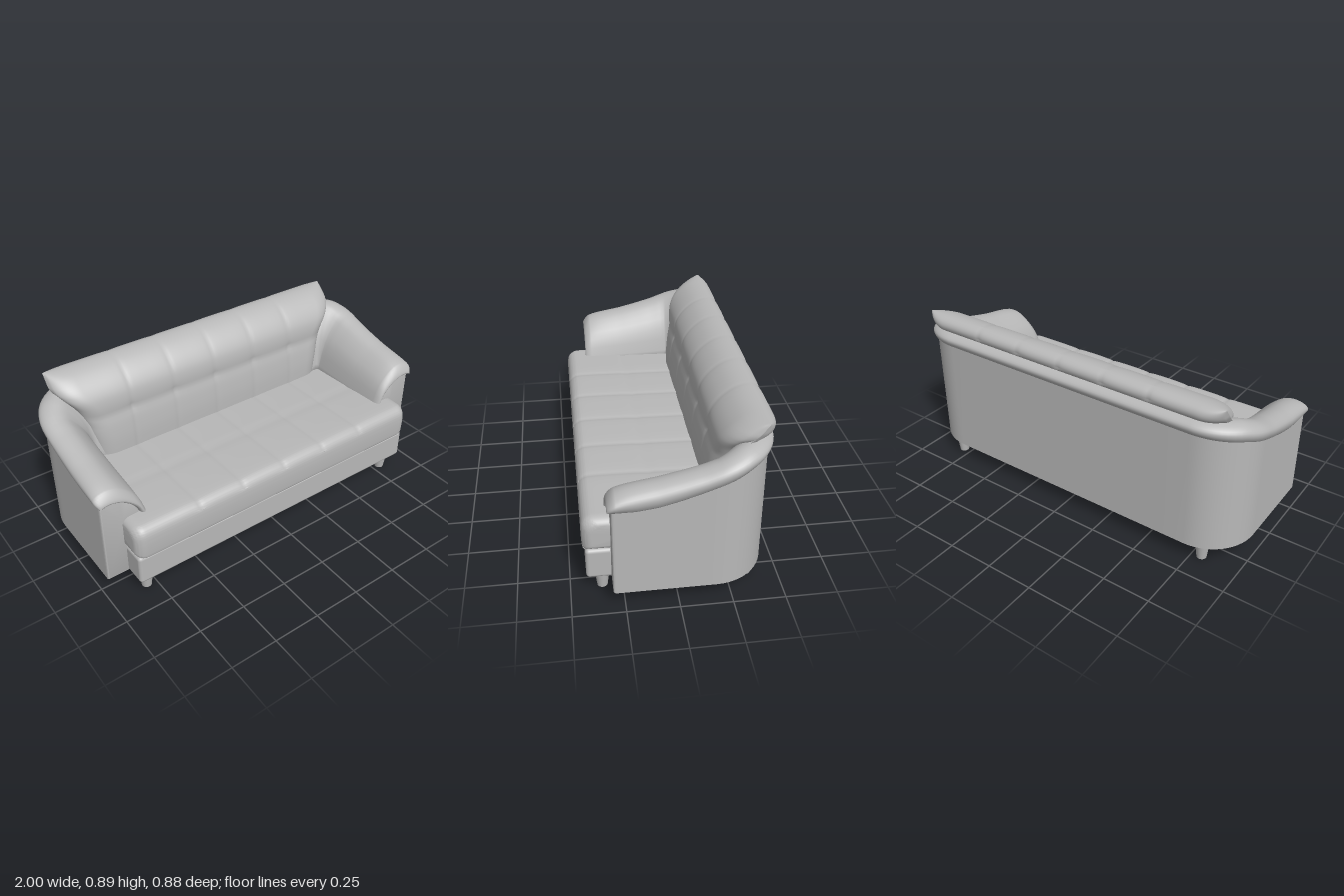
import * as THREE from 'three';
import { toCreasedNormals } from 'three/addons/utils/BufferGeometryUtils.js';
import { RoundedBoxGeometry } from 'three/addons/geometries/RoundedBoxGeometry.js';

const V = (x, y, z) => new THREE.Vector3(x, y, z);

// Piecewise-linear lookup in [key, value] pairs with rising keys
function lookup(table, t) {
  if (t <= table[0][0]) return table[0][1];
  for (let i = 1; i < table.length; i++) {
    const [a, va] = table[i - 1], [b, vb] = table[i];
    if (t <= b) return va + (vb - va) * (t - a) / (b - a);
  }
  return table[table.length - 1][1];
}

// Skin closed rings of points, optionally with end caps, facing outwards
function loft(rings, caps) {
  const n = rings[0].length, pts = rings.flat(), idx = [];
  for (let i = 0; i < rings.length - 1; i++) {
    for (let j = 0; j < n; j++) {
      const a = i * n + j, b = i * n + (j + 1) % n;
      idx.push(a, b, b + n, a, b + n, a + n);
    }
  }
  if (caps) {
    [0, rings.length - 1].forEach((r) => {
      const c = V(0, 0, 0);
      rings[r].forEach((p) => c.addScaledVector(p, 1 / n));
      pts.push(c);
      for (let j = 0; j < n; j++) {
        const a = r * n + j, b = r * n + (j + 1) % n;
        if (r === 0) idx.push(pts.length - 1, b, a);
        else idx.push(pts.length - 1, a, b);
      }
    });
  }
  let volume = 0;
  const cross = V(0, 0, 0);
  for (let i = 0; i < idx.length; i += 3) {
    volume += pts[idx[i]].dot(cross.crossVectors(pts[idx[i + 1]], pts[idx[i + 2]]));
  }
  if (volume < 0) idx.reverse();
  const g = new THREE.BufferGeometry().setFromPoints(pts);
  g.setIndex(idx);
  g.computeVertexNormals();
  return g;
}

// U-shaped path round arms and back; s runs 0 to 1 over the rounded front ends
function uPath(front, round) {
  const R = 0.25, X = 0.98, Z = -0.42, half = [];
  for (let i = 0; i < 8; i++) {
    const a = i / 8 * Math.PI / 2;
    half.push({ x: X, z: front - round + round * Math.cos(a), nx: 1, nz: 0, s: Math.sin(a) });
  }
  for (let i = 0; i < 20; i++) {
    half.push({ x: X, z: THREE.MathUtils.lerp(front - round, Z + R, i / 20), nx: 1, nz: 0, s: 1 });
  }
  for (let i = 0; i <= 14; i++) {
    const a = i / 14 * Math.PI / 2, c = Math.cos(a), s = Math.sin(a);
    half.push({ x: X - R + R * c, z: Z + R - R * s, nx: c, nz: -s, s: 1 });
  }
  for (let i = 1; i <= 6; i++) half.push({ x: (X - R) * (1 - i / 6), z: Z, nx: 0, nz: -1, s: 1 });
  const other = half.slice(0, -1).reverse().map((p) => ({ ...p, x: -p.x, nx: -p.nx }));
  return half.concat(other);
}

// Lower and upper edge of the armrest roll along the depth
const rollLow = [[-0.42, 0.73], [-0.3, 0.705], [-0.2, 0.67], [-0.1, 0.633], [0, 0.6], [0.1, 0.573], [0.2, 0.56], [0.32, 0.56]];
const rollTop = [[-0.42, 0.802], [-0.3, 0.788], [-0.2, 0.758], [-0.1, 0.722], [0, 0.695], [0.1, 0.671], [0.2, 0.653], [0.25, 0.642], [0.29, 0.628], [0.325, 0.605]];

const place = (p, [d, y]) => V(p.x + p.nx * d, y, p.z + p.nz * d);

// Underside of the roll, shared with the top of the shell
const underside = (lo) => [[0, lo], [-0.03, lo], [-0.06, lo], [-0.1, lo - 0.01], [-0.135, lo - 0.035], [-0.17, lo - 0.07], [-0.195, lo - 0.11], [-0.21, 0.4]];

function shellGeometry() {
  const rings = uPath(0.306, 0.014).map((p) => {
    const top = underside(lookup(rollLow, p.z) + 0.008);
    const sec = [[0, 0.1], ...top, [-0.21, 0.1]];
    const k = 0.93 + 0.07 * p.s;
    return sec.map(([d, y]) => place(p, [-0.105 + (d + 0.105) * k, 0.33 + (y - 0.33) * (0.96 + 0.04 * p.s)]));
  });
  return toCreasedNormals(loft(rings, true), 0.7);
}

function rollGeometry() {
  const rings = uPath(0.325, 0.04).map((p) => {
    const lo = lookup(rollLow, p.z), hi = lookup(rollTop, p.z), h = hi - lo, inH = hi - 0.4;
    const outer = [[0.004, lo], [0.018, lo + 0.3 * h], [0.018, lo + 0.62 * h], [-0.01, lo + 0.9 * h],
      [-0.06, hi], [-0.12, 0.4 + 0.91 * inH], [-0.2, 0.4 + 0.56 * inH], [-0.245, 0.4]];
    const inner = underside(lo);
    const smooth = (arc) => new THREE.SplineCurve(arc.map(([d, y]) => new THREE.Vector2(d, y))).getPoints(21);
    const a = smooth(outer), b = smooth(inner);
    const mid = a.map((q, i) => q.clone().lerp(b[i], 0.5));
    const out = a.map((q, i) => mid[i].clone().lerp(q, p.s));
    const inn = b.map((q, i) => mid[i].clone().lerp(q, p.s)).reverse();
    return [...out, ...inn].map((q) => place(p, [Math.max(q.x, -0.247), q.y]));
  });
  return loft(rings, false);
}

// Stitched seams between the six panels
function seam(x) {
  let g = 0;
  for (let i = -2; i <= 2; i++) {
    const d = Math.abs(x - i * 0.257);
    g += 0.6 * Math.exp(-((d / 0.012) ** 2)) + 0.4 * Math.exp(-((d / 0.05) ** 2));
  }
  return g;
}
const ridge = (t, w) => Math.exp(-((t / w) ** 2));

function backCushionGeometry() {
  const profile = [[-0.16, 0.4], [-0.163, 0.5], [-0.172, 0.58], [-0.185, 0.65], [-0.19, 0.72], [-0.205, 0.77],
    [-0.24, 0.82], [-0.29, 0.862], [-0.34, 0.884], [-0.39, 0.888], [-0.425, 0.872], [-0.437, 0.845],
    [-0.425, 0.815], [-0.39, 0.8], [-0.36, 0.77], [-0.33, 0.7], [-0.31, 0.6], [-0.3, 0.5], [-0.29, 0.4]];
  const width = [[0.4, 0.72], [0.5, 0.735], [0.6, 0.757], [0.7, 0.805], [0.76, 0.85], [0.8, 0.875], [0.83, 0.885]];
  const ring = new THREE.SplineCurve(profile.map((p) => new THREE.Vector2(...p))).getPoints(71);
  const mid = ring.map((p, i) => p.clone().lerp(ring[71 - i], 0.5));
  const rings = [], N = 160;
  for (let i = 0; i <= N; i++) {
    const u = Math.sin((i / N - 0.5) * Math.PI) * 0.4 + (i / N * 2 - 1) * 0.6;
    const e = Math.max(0, (Math.abs(u) - 0.86) / 0.14);
    const k = Math.sqrt(Math.max(0, 1 - e * e));
    rings.push(ring.map((p, j) => {
      const x = u * lookup(width, p.y);
      const q = mid[j].clone().lerp(p, k);
      if (j < 46) {
        const dir = mid[j].clone().sub(p).normalize();
        const tuft = 0.006 * seam(x) + 0.008 * ridge(p.y - 0.65, 0.02) * (0.4 + 0.6 * seam(x));
        q.addScaledVector(dir, tuft * k);
      }
      return V(x, q.y, q.x);
    }));
  }
  return loft(rings, false);
}

function seatCushionGeometry() {
  const profile = [[-0.3, 0.262], [0.1, 0.262], [0.4, 0.262], [0.43, 0.264], [0.436, 0.29], [0.437, 0.36], [0.43, 0.405],
    [0.405, 0.432], [0.36, 0.44], [0.2, 0.439], [0, 0.434], [-0.2, 0.43], [-0.3, 0.425]];
  const ring = new THREE.SplineCurve(profile.map((p) => new THREE.Vector2(...p))).getPoints(84);
  const xs = [];
  for (let i = 0; i < 10; i++) xs.push([0.875 - 0.055 * (1 - Math.cos(i / 10 * Math.PI / 2)), Math.sin(i / 10 * Math.PI / 2)]);
  for (let i = 0; i <= 140; i++) xs.push([0.82 - 1.64 * i / 140, 1]);
  for (let i = 9; i >= 0; i--) xs.push([-xs[i][0], xs[i][1]]);
  const rings = xs.map(([x, s]) => ring.map((p) => {
    const z = p.x * (1 - 0.11 * (1 - s));
    let y = 0.345 + (p.y - 0.345) * (1 - 0.4 * (1 - s));
    if (p.y > 0.4) y -= 0.007 * seam(x) + 0.007 * ridge(z - 0.1, 0.014);
    return V(x, y, z);
  }));
  return toCreasedNormals(loft(rings, true), 0.8);
}

export function createModel() {
  const sofa = new THREE.Group();
  sofa.name = 'sofa';
  const leather = new THREE.MeshStandardMaterial({ color: 0xb8b8b8 });
  leather.name = 'grey upholstery';

  const add = (name, geometry, x = 0, y = 0, z = 0) => {
    const mesh = new THREE.Mesh(geometry, leather);
    mesh.name = name;
    mesh.position.set(x, y, z);
    sofa.add(mesh);
  };

  // Upholstered frame
  add('shell', shellGeometry());
  add('armAndBackRoll', rollGeometry());
  add('underside', new THREE.BoxGeometry(1.6, 0.2, 0.66), 0, 0.204, -0.05);
  add('frontRail', new RoundedBoxGeometry(1.735, 0.164, 0.4, 4, 0.018), 0, 0.182, 0.223);

  // Cushions
  add('seatCushion', seatCushionGeometry());
  add('backCushion', backCushionGeometry());

  // Tapered legs
  for (const x of [-0.8, 0.8]) {
    for (const z of [0.347, -0.347]) {
      add(z > 0 ? 'frontLeg' : 'backLeg', new THREE.CylinderGeometry(0.039, 0.025, 0.11, 24), x, 0.055, z);
    }
  }
  return sofa;
}
